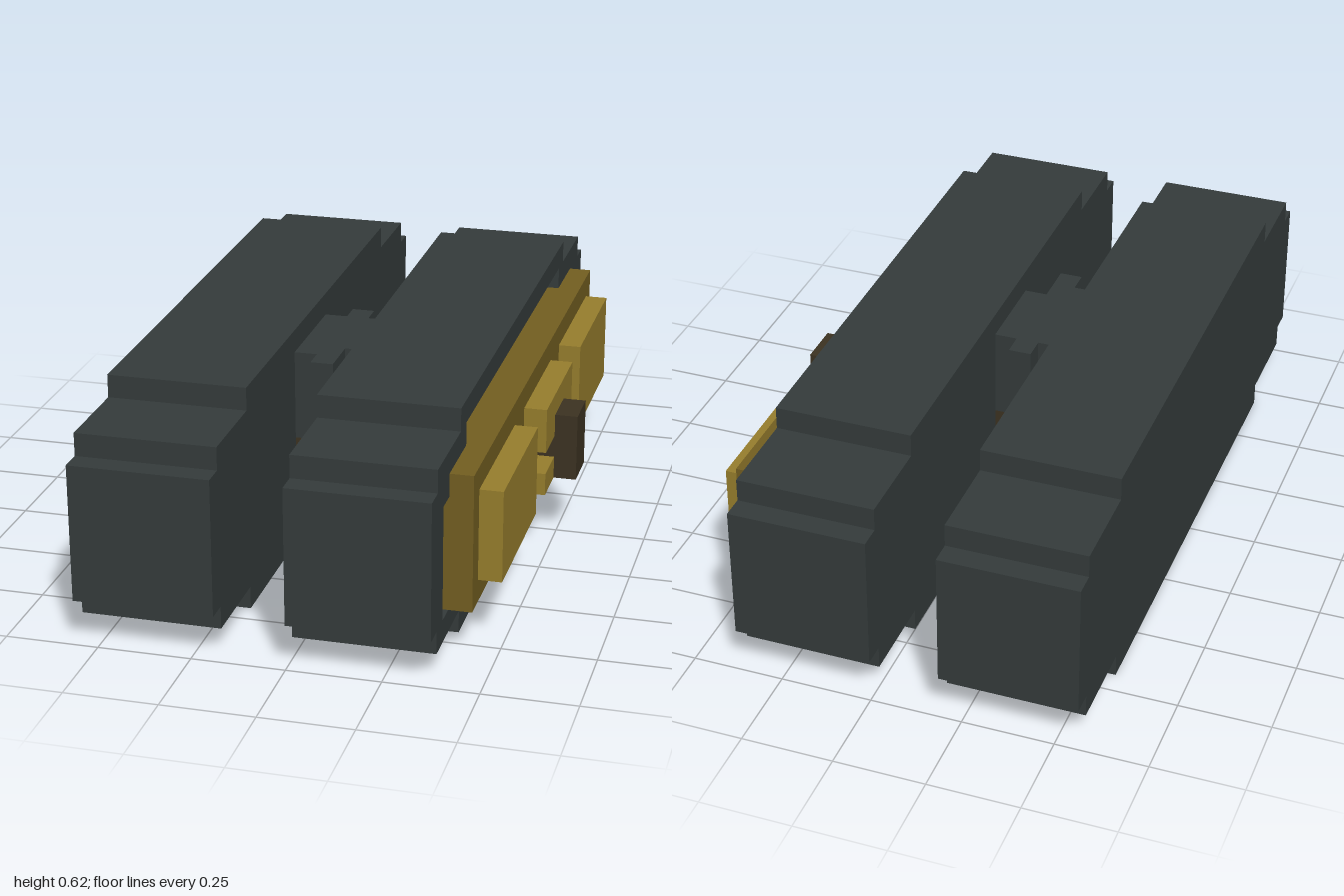
import * as THREE from 'three';

const U = 1 / 16; // modelling unit; all sizes below are in units

export function createModel() {
  const model = new THREE.Group();
  const material = (name, color) => {
    const m = new THREE.MeshStandardMaterial({ color });
    m.name = name;
    return m;
  };
  const slate = material('slate', 0x353c3c);
  const bronze = material('bronze', 0x745f21);
  const gold = material('gold', 0x987f2d);
  const brown = material('brown', 0x3d3322);

  const add = (name, geometry, mat) => {
    const mesh = new THREE.Mesh(geometry, mat);
    mesh.name = name;
    model.add(mesh);
    return mesh;
  };

  // Box given by its limits along each axis
  const box = (name, mat, [x0, x1], [y0, y1], [z0, z1]) => {
    const g = new THREE.BoxGeometry((x1 - x0) * U, (y1 - y0) * U, (z1 - z0) * U);
    g.translate((x0 + x1) * U / 2, (y0 + y1) * U / 2, (z0 + z1) * U / 2);
    return add(name, g, mat);
  };

  // Symmetric stepped outline from one half, bottom to top
  const outline = (half) => {
    const other = half.map(([z, y]) => [-z, y]).reverse();
    return [...half, ...other].map(([z, y]) => new THREE.Vector2(z * U, y * U));
  };
  const blockOutline = outline([[11, 0], [11, 1], [15, 1], [15, 2], [16, 2],
    [16, 8], [15, 8], [15, 9], [11, 9], [11, 10]]);
  const recessOutline = outline([[10, 1], [10, 2], [14, 2], [14, 7], [10, 7], [10, 9]]);

  // Slab with the stepped outline, running along x
  const slab = (name, x0, x1, hole) => {
    const shape = new THREE.Shape(blockOutline);
    if (hole) shape.holes.push(new THREE.Path(hole));
    const g = new THREE.ExtrudeGeometry(shape, { depth: (x1 - x0) * U, bevelEnabled: false });
    g.rotateY(Math.PI / 2).translate(x0 * U, 0, 0);
    return add(name, g, slate);
  };

  // The two long blocks, the left one with a recessed side
  slab('rightBlock', -9, -3);
  slab('leftBlock', 0, 5);
  slab('leftBlockRim', 5, 6, recessOutline);

  // Connector between the blocks
  box('connectorTop', slate, [-3, -1], [5, 9], [-1, 4]);
  box('connectorTopInner', slate, [-1, 0], [5, 9], [-1, 3]);
  box('connectorBase', brown, [-3, 0], [1, 5], [-1, 4]);
  box('connectorBar', slate, [-2, -1], [2, 9], [-2, 5]);

  // Side panel with raised pads
  box('panel', bronze, [5, 7], [2, 8], [-13, 13]);
  box('frontPad', gold, [7, 8], [3, 7], [5, 12]);
  box('backPad', gold, [7, 8], [3, 7], [-12, -5]);
  box('upperCentrePad', gold, [7, 8], [5, 7], [-3, 3]);
  box('lowerCentrePad', gold, [7, 8], [3, 4], [-3, 3]);
  box('latch', brown, [7, 9], [3, 6], [-1, 1]);

  return model;
}
